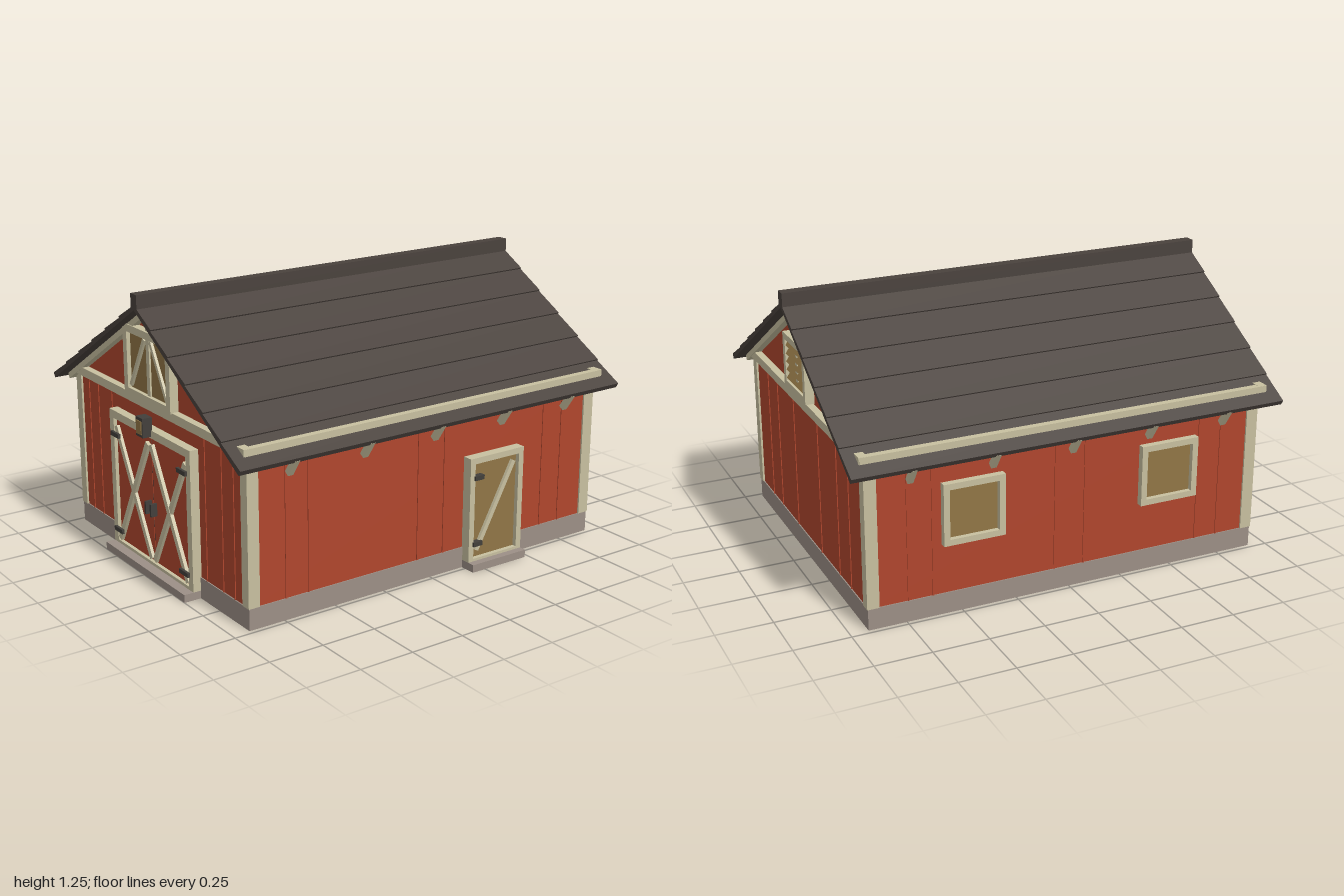
import * as THREE from 'three';

const mat = (name, color) => Object.assign(new THREE.MeshStandardMaterial({ color }), { name });

export function createModel() {
  const red = mat('barn red', 0xb0462d);
  const cream = mat('cream trim', 0xc8c0a0);
  const tan = mat('tan wood', 0x917646);
  const stone = mat('stone', 0x9c8f86);
  const roofMat = mat('roof brown', 0x4a423d);
  const iron = mat('dark iron', 0x423f3b);

  const barn = new THREE.Group();
  barn.name = 'barn';

  const add = (parent, name, geometry, material, x = 0, y = 0, z = 0) => {
    const m = new THREE.Mesh(geometry, material);
    m.name = name;
    m.position.set(x, y, z);
    parent.add(m);
    return m;
  };
  // Box given by its low and high limits on each axis
  const box = (parent, name, material, x0, x1, y0, y1, z0, z1) =>
    add(parent, name, new THREE.BoxGeometry(x1 - x0, y1 - y0, z1 - z0), material,
      (x0 + x1) / 2, (y0 + y1) / 2, (z0 + z1) / 2);
  // Straight bar between two points in the local xy plane
  const bar = (parent, name, material, xa, ya, xb, yb, width, z0, z1) => {
    const m = add(parent, name, new THREE.BoxGeometry(Math.hypot(xb - xa, yb - ya), width, z1 - z0), material,
      (xa + xb) / 2, (ya + yb) / 2, (z0 + z1) / 2);
    m.rotation.z = Math.atan2(yb - ya, xb - xa);
    return m;
  };
  // Rectangular frame of four boards
  const frame = (parent, name, x0, x1, y0, y1, w, bottom, z0, z1) => {
    box(parent, name + 'Side', cream, x0, x0 + w, y0, y1, z0, z1);
    box(parent, name + 'Side', cream, x1 - w, x1, y0, y1, z0, z1);
    box(parent, name + 'Head', cream, x0 + w, x1 - w, y1 - w, y1, z0, z1);
    box(parent, name + 'Sill', cream, x0 + w, x1 - w, y0, y0 + bottom, z0, z1);
  };
  // Group standing on a wall, with local +z pointing outwards
  const onWall = (name, x, z, angle) => {
    const g = new THREE.Group();
    g.name = name;
    g.position.set(x, 0, z);
    g.rotation.y = angle;
    barn.add(g);
    return g;
  };
  const extrudeZ = (points, depth) => {
    const shape = new THREE.Shape(points.map(p => new THREE.Vector2(...p)));
    return new THREE.ExtrudeGeometry(shape, { depth, bevelEnabled: false }).translate(0, 0, -depth / 2);
  };

  // Foundation, steps and walls
  box(barn, 'foundation', stone, -0.73, 0.73, 0, 0.095, -0.92, 0.92);
  box(barn, 'frontStep', stone, -0.35, 0.35, 0, 0.035, 0.9, 1);
  box(barn, 'sideStep', stone, 0.7, 0.805, 0, 0.035, -0.48, -0.18);
  add(barn, 'walls', extrudeZ([[-0.725, 0.09], [0.725, 0.09], [0.725, 0.745], [0, 1.183], [-0.725, 0.745]], 1.83), red);

  // Corner boards
  for (const sx of [-1, 1]) for (const sz of [-1, 1])
    add(barn, 'cornerBoard', new THREE.BoxGeometry(0.048, 0.65, 0.054), cream, sx * 0.709, 0.42, sz * 0.897);

  // Roof: each slope is a slab with overlapping courses
  const slope = Math.atan2(0.49, 0.81), c = Math.cos(slope), s = Math.sin(slope);
  const apex = 1.203, length = 0.945, courses = 6, step = length / courses;
  const onSlope = (d, t) => [d * c + t * s, apex - d * s + t * c];
  const half = [[0, apex - 0.021], onSlope(length, -0.018), onSlope(length, 0.007)];
  for (let k = courses - 1; k > 0; k--) half.push(onSlope(k * step, 0), onSlope(k * step, 0.007));
  half.push([0, apex]);
  const mirrored = half.map(([x, y]) => [-x, y]).reverse();
  add(barn, 'roofSlopeLeft', extrudeZ(half, 2), roofMat);
  add(barn, 'roofSlopeRight', extrudeZ(mirrored, 2), roofMat);
  box(barn, 'ridgeCap', roofMat, -0.025, 0.025, 1.19, 1.25, -1, 1);

  // Eave plates and slanted eave brackets
  for (const sx of [-1, 1]) {
    add(barn, 'eavePlate', new THREE.BoxGeometry(0.03, 0.045, 1.89), cream, sx * 0.742, 0.757, 0);
    for (let i = -2; i <= 2; i++)
      bar(barn, 'eaveBracket', cream, sx * 0.742, 0.637, sx * 0.793, 0.712, 0.026, i * 0.366 - 0.0125, i * 0.366 + 0.0125);
  }

  const front = onWall('frontWallDetails', 0, 0.92, 0);
  const back = onWall('backWallDetails', 0, -0.92, Math.PI);
  const left = onWall('leftWallDetails', 0.73, 0, Math.PI / 2);
  const right = onWall('rightWallDetails', -0.73, 0, -Math.PI / 2);

  // Gable trim on both ends
  for (const end of [front, back]) {
    box(end, 'tieBeam', cream, -0.755, 0.755, 0.74, 0.78, -0.01, 0.028);
    box(end, 'kingPost', cream, -0.013, 0.013, 0.78, 1.165, -0.01, 0.024);
    for (const sx of [-1, 1]) {
      const a = onSlope(0.005, -0.03), b = onSlope(0.905, -0.03);
      bar(end, 'rakeBoard', cream, sx * a[0], a[1], sx * b[0], b[1], 0.026, -0.01, 0.03);
    }
  }

  // Thin plank battens
  for (const sx of [-1, 1]) {
    for (const x of [0.4, 0.53, 0.62]) box(front, 'batten', red, sx * x - 0.003, sx * x + 0.003, 0.095, 0.74, -0.006, -0.001);
    for (const x of [0.16, 0.39, 0.53]) box(back, 'batten', red, sx * x - 0.003, sx * x + 0.003, 0.095, 0.74, -0.006, -0.001);
    for (const wall of [left, right])
      for (const x of [0.07, 0.63, 0.74]) box(wall, 'batten', red, sx * x - 0.003, sx * x + 0.003, 0.095, 0.72, -0.006, -0.001);
  }

  // Front double door
  frame(front, 'doorFrame', -0.35, 0.35, 0.035, 0.66, 0.036, 0.014, -0.005, 0.036);
  for (const sx of [-1, 1]) {
    add(front, 'doorLeaf', new THREE.BoxGeometry(0.312, 0.576, 0.024), red, sx * 0.159, 0.337, 0.008);
    bar(front, 'doorBrace', cream, sx * 0.3, 0.06, sx * 0.014, 0.59, 0.026, 0.02, 0.036);
    bar(front, 'doorBrace', cream, sx * 0.3, 0.59, sx * 0.014, 0.06, 0.026, 0.02, 0.034);
    for (const y of [0.105, 0.555])
      add(front, 'doorHinge', new THREE.BoxGeometry(0.072, 0.02, 0.012), iron, sx * 0.29, y, 0.042);
    add(front, 'doorHandle', new THREE.BoxGeometry(0.012, 0.058, 0.03), iron, sx * 0.023, 0.298, 0.035);
  }
  box(front, 'doorGap', iron, -0.003, 0.003, 0.05, 0.624, 0.01, 0.018);

  // Lamp above the door
  box(front, 'lampBody', iron, -0.029, 0.029, 0.632, 0.718, 0.03, 0.076);
  box(front, 'lampPane', tan, -0.021, 0.021, 0.645, 0.704, 0.075, 0.08);

  // Hayloft doors
  frame(front, 'loftFrame', -0.198, 0.198, 0.775, 1.083, 0.033, 0.027, -0.005, 0.034);
  for (const sx of [-1, 1]) {
    add(front, 'loftDoor', new THREE.BoxGeometry(0.154, 0.256, 0.02), tan, sx * 0.089, 0.928, 0.006);
    bar(front, 'loftBrace', cream, sx * 0.155, 0.815, sx * 0.026, 1.043, 0.017, 0.014, 0.028);
  }

  // Louvred vent on the back gable
  frame(back, 'ventFrame', -0.14, 0.14, 0.785, 1.03, 0.028, 0.028, -0.005, 0.036);
  box(back, 'ventBacking', iron, -0.112, 0.112, 0.813, 1.002, -0.005, 0.014);
  for (let i = 0; i < 5; i++) {
    const slat = add(back, 'ventSlat', new THREE.BoxGeometry(0.224, 0.026, 0.008), tan, 0, 0.834 + i * 0.037, 0.023);
    slat.rotation.x = -0.6;
  }

  // Side door
  const sideDoor = new THREE.Group();
  sideDoor.name = 'sideDoor';
  sideDoor.position.x = 0.33;
  left.add(sideDoor);
  frame(sideDoor, 'sideDoorFrame', -0.15, 0.15, 0.035, 0.513, 0.027, 0.012, -0.008, 0.042);
  box(sideDoor, 'sideDoorPanel', tan, -0.123, 0.123, 0.047, 0.486, -0.008, 0.022);
  bar(sideDoor, 'sideDoorBrace', cream, -0.1, 0.08, 0.1, 0.457, 0.021, 0.02, 0.036);
  for (const y of [0.115, 0.422]) box(sideDoor, 'sideDoorHinge', iron, -0.128, -0.078, y - 0.01, y + 0.01, 0.02, 0.05);

  // Two windows on the other side
  for (const x of [-0.46, 0.46]) {
    frame(right, 'windowFrame', x - 0.138, x + 0.138, 0.33, 0.605, 0.027, 0.027, 0.014, 0.044);
    box(right, 'windowPanel', tan, x - 0.112, x + 0.112, 0.356, 0.579, -0.008, 0.022);
  }

  return barn;
}
